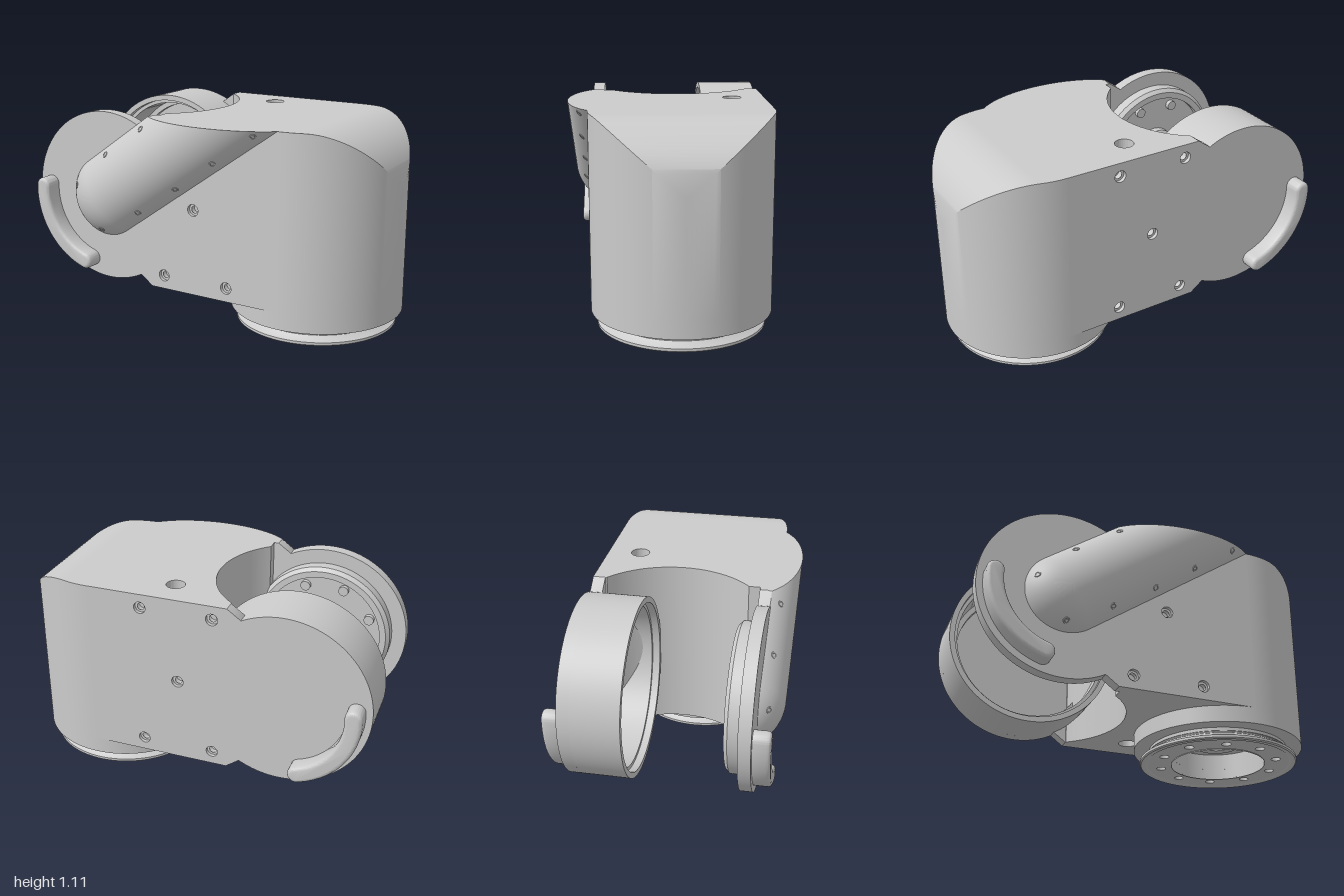
import * as THREE from 'three';
import { toCreasedNormals } from 'three/addons/utils/BufferGeometryUtils.js';

const mat = new THREE.MeshStandardMaterial({ color: 0xcccccc, side: THREE.DoubleSide });
const PX = -0.53, PY = 0.64, PR = 0.47;      // pivot of the fork and its radius
const BX = 0.53, BZ = -0.015, BR = 0.47;     // vertical barrel axis and radius
const BOTTOM = 0.17, TOP = 1.11;

export function createModel() {
  const model = new THREE.Group();

  const add = (name, geo, x = 0, y = 0, z = 0, crease = 0.5) => {
    const mesh = new THREE.Mesh(toCreasedNormals(geo, crease), mat);
    mesh.name = name;
    mesh.position.set(x, y, z);
    model.add(mesh);
    return mesh;
  };
  const vec = ([x, y]) => new THREE.Vector2(x, y);
  const lathe = (pts) => new THREE.LatheGeometry(pts.map(vec), 128);
  const latheZ = (pts) => lathe(pts).rotateX(Math.PI / 2);
  const circle = (x, y, r) => new THREE.Path().absarc(x, y, r, 0, Math.PI * 2);
  const extrude = (shape, depth, opts = {}) =>
    new THREE.ExtrudeGeometry(shape, { depth, bevelEnabled: false, curveSegments: 48, ...opts });

  // Skin over a row of cross-sections
  const loft = (sections, closed) => {
    const n = sections[0].length, idx = [];
    for (let i = 0; i < sections.length - 1; i++) {
      for (let j = 0; j < (closed ? n : n - 1); j++) {
        const k = (j + 1) % n, a = i * n, b = a + n;
        idx.push(a + j, b + j, b + k, a + j, b + k, a + k);
      }
    }
    const geo = new THREE.BufferGeometry();
    geo.setAttribute('position', new THREE.Float32BufferAttribute(sections.flat(2), 3));
    geo.setIndex(idx);
    return geo;
  };

  // Side plates: round fork end, chamfered shoulder, square rear, bolt holes
  const plate = (holes) => {
    const s = new THREE.Shape();
    const a = Math.atan2(0.42, 0.22);
    s.moveTo(BX, BOTTOM);
    s.lineTo(BX, TOP);
    s.lineTo(-0.24, TOP);
    s.lineTo(-0.31, 1.06);
    s.absarc(PX, PY, PR, a, Math.PI * 2 - a);
    s.lineTo(-0.24, BOTTOM);
    s.closePath();
    for (const [x, y] of holes) s.holes.push(circle(x, y, 0.032));
    return extrude(s, 0.065);
  };
  const frontHoles = [[0.03, 0.64], [-0.16, 0.245], [0.23, 0.245]];
  const backHoles = [...frontHoles, [-0.16, 1.035], [0.23, 1.035]];
  add('frontPlate', plate(frontHoles), 0, 0, 0.39);
  add('backPlate', plate(backHoles), 0, 0, -0.485);
  for (const [x, y] of frontHoles) add('boltSeat', new THREE.RingGeometry(0.019, 0.033, 24), x, y, 0.435);
  for (const [x, y] of backHoles) add('boltSeat', new THREE.RingGeometry(0.019, 0.033, 24), x, y, -0.465);

  // Core between the plates, scooped by a vertical arc, with a cable hole
  const core = new THREE.Shape();
  core.moveTo(BX, -0.39);
  core.lineTo(BX, 0.42);
  core.lineTo(-0.24, 0.42);
  core.absarc(PX, 0.03, 0.48, 0.92, -0.85, true);
  core.lineTo(-0.213, -0.39);
  core.closePath();
  core.holes.push(circle(0.1, 0.31, 0.05));
  add('core', extrude(core, TOP - BOTTOM).rotateX(-Math.PI / 2), 0, BOTTOM, 0);

  // Rounded rear: half barrel in plan, rolled over at the top
  const rear = [];
  for (let i = 0; i <= 32; i++) {
    const t = (i / 32) * Math.PI / 2;
    const x = BX + BR * Math.sin(t), w = BR * Math.cos(t);
    const u = Math.min(1, Math.max(0, (x - 0.66) / 0.34));
    const y = 0.77 + 0.34 * Math.sqrt(1 - u * u);
    rear.push([[x, BOTTOM, BZ + w], [x, y, BZ + w], [x, y, BZ - w], [x, BOTTOM, BZ - w]]);
  }
  add('rearBody', loft(rear, true));

  // Barrel foot and flared base flange
  add('barrelFoot', lathe([[0.385, 0.08], [BR, 0.08], [BR, BOTTOM]]), BX, 0, BZ);
  add('baseFlange', lathe([[0.395, 0.006], [0.405, 0], [0.43, 0], [0.437, 0.006], [0.437, 0.02],
    [0.405, 0.035], [0.385, 0.055], [0.385, 0.08]]), BX, 0, BZ);
  add('baseBore', lathe([[0.26, 0], [0.26, 0.15], [0.12, 0.15], [0.12, 0.11], [0.07, 0.11],
    [0.07, 0.16], [0, 0.16]]), BX, 0, BZ);
  const ring = new THREE.Shape().absarc(0, 0, 0.396, 0, Math.PI * 2);
  ring.holes.push(circle(0, 0, 0.26));
  for (let i = 0; i < 10; i++) {
    const a = (i / 10) * Math.PI * 2;
    ring.holes.push(circle(0.325 * Math.cos(a), 0.325 * Math.sin(a), 0.026));
  }
  add('baseRing', extrude(ring, 0.04).rotateX(-Math.PI / 2), BX, 0.006, BZ);
  add('baseRingFloor', new THREE.RingGeometry(0.26, 0.39, 64).rotateX(Math.PI / 2), BX, 0.06, BZ);
  for (let i = 0; i < 24; i++) {
    const a = (i / 24) * Math.PI * 2;
    add('flangeScrew', new THREE.CylinderGeometry(0.01, 0.01, 0.004, 12),
      BX + 0.418 * Math.cos(a), 0, BZ + 0.418 * Math.sin(a)).position.y = 0.002;
  }

  // Back fork: open cup facing forward
  add('backCup', latheZ([[PR, -0.425], [PR, -0.17], [0.44, -0.17], [0.44, -0.21], [0.42, -0.21],
    [0.42, -0.39], [0.39, -0.39], [0.39, -0.425]]), PX, PY, 0);

  // Front fork: raised joint ring, recessed face and hub
  add('jointRing', latheZ([[0.39, 0.39], [0.39, 0.33], [0.37, 0.31], [0.335, 0.31], [0.335, 0.35],
    [0.13, 0.35], [0.13, 0.31], [0.115, 0.3], [0.075, 0.3], [0.075, 0.385]]), PX, PY, 0);
  add('hubNut', new THREE.CylinderGeometry(0.06, 0.06, 0.06, 8).rotateX(Math.PI / 2), PX, PY, 0.36);
  for (let i = 0; i < 8; i++) {
    const a = ((i + 0.5) / 8) * Math.PI * 2;
    add('jointBolt', new THREE.CylinderGeometry(0.028, 0.028, 0.03, 20).rotateX(Math.PI / 2),
      PX + 0.285 * Math.cos(a), PY + 0.285 * Math.sin(a), 0.34);
  }

  // Curved stop ribs on both outer faces
  const a0 = 3.077, a1 = 4.414, r = 0.39, w = 0.025;
  const rib = new THREE.Shape();
  const at = (a) => [r * Math.cos(a), r * Math.sin(a)];
  rib.absarc(0, 0, r + w, a0, a1);
  rib.absarc(...at(a1), w, a1, a1 + Math.PI);
  rib.absarc(0, 0, r - w, a1, a0, true);
  rib.absarc(...at(a0), w, a0 + Math.PI, a0 + Math.PI * 2);
  const ribGeo = extrude(rib, 0.07, { curveSegments: 24, bevelEnabled: true,
    bevelSize: 0.02, bevelThickness: 0.02, bevelSegments: 4 });
  add('frontRib', ribGeo, PX, PY, 0.455);
  add('backRib', ribGeo, PX, PY, -0.555);

  // Slanted cover: part of a round bar, cut level at the top
  const R = 0.262, CZ = 0.313, tilt = 0.611;
  const c = Math.cos(tilt), sn = Math.sin(tilt), half = Math.asin(0.222 / R);
  const cover = [];
  for (let i = 0; i <= 40; i++) {
    const phi = half * (1 - i / 20);
    const v = R * Math.sin(phi), z = CZ + R * Math.cos(phi);
    const s = (TOP - PY - v * c) / sn;
    const x = PX + s * c - v * sn;
    cover.push([[PX - v * sn, PY + v * c, z], [x, TOP, z], [x, TOP, 0.44]]);
  }
  add('slantedCover', loft(cover, false));
  add('coverEnd', new THREE.SphereGeometry(R, 64, 20, 0, Math.PI * 2, 0, half).rotateX(Math.PI / 2), PX, PY, CZ);

  // Screws along the cover edge
  const screws = [[-0.7, 0.69], [-0.5, 0.885], [-0.26, 1.05], [0.415, 1.08],
    [0.18, 0.915], [-0.05, 0.75], [-0.29, 0.59], [-0.54, 0.46]];
  for (const [x, y] of screws) {
    const s = Math.max(0, (x - PX) * c + (y - PY) * sn);
    const nx = x - PX - s * c, ny = y - PY - s * sn;
    const nz = Math.sqrt(R * R - nx * nx - ny * ny);
    const normal = new THREE.Vector3(nx, ny, nz).normalize();
    const screw = add('coverScrew', lathe([[0.019, -0.004], [0.017, 0.003], [0.011, 0.003],
      [0.009, 0.001], [0, 0.001]]), x, y, CZ + nz);
    screw.quaternion.setFromUnitVectors(new THREE.Vector3(0, 1, 0), normal);
  }
  return model;
}
